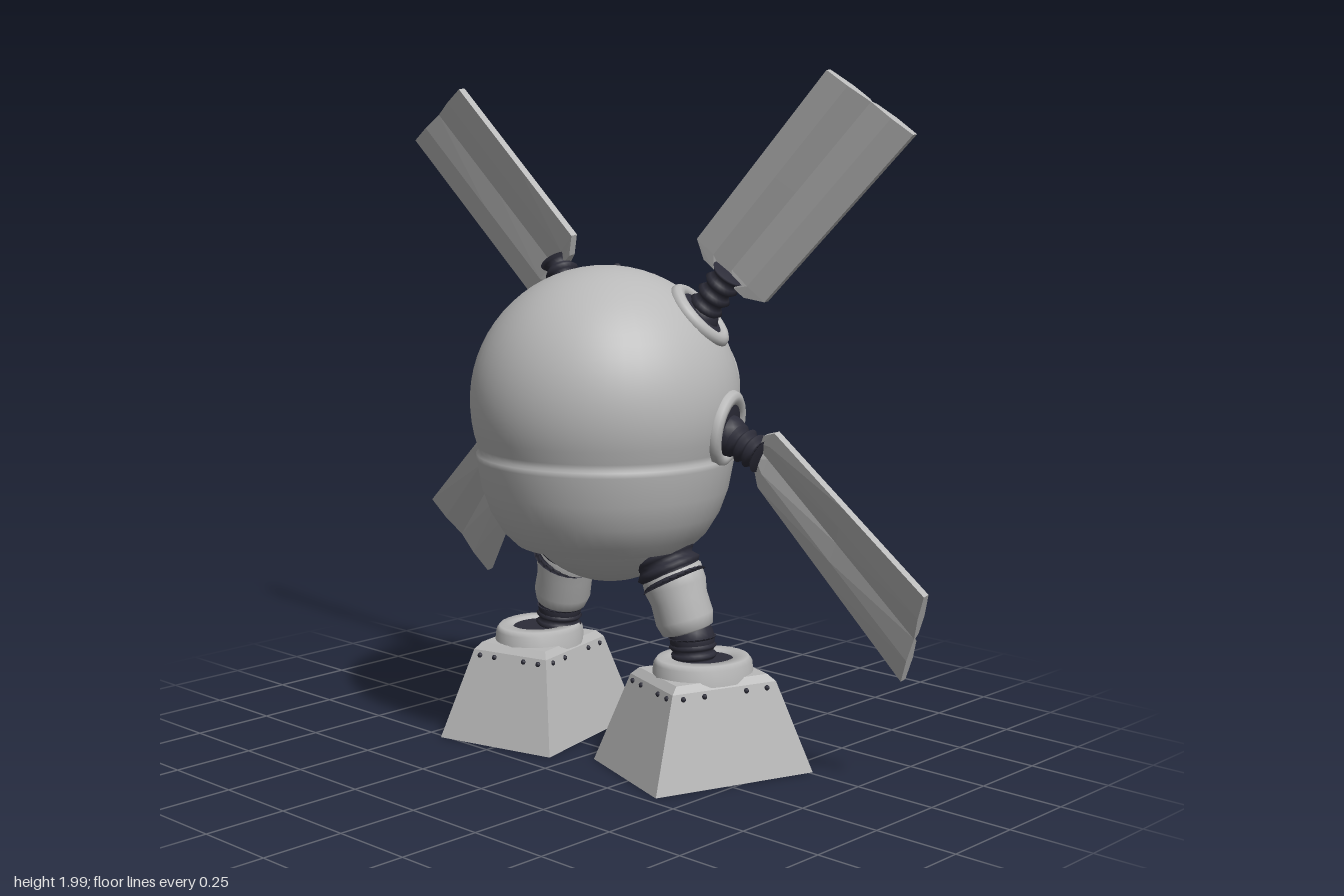
import * as THREE from 'three';

const mat = (name, color, side = THREE.FrontSide) => {
  const m = new THREE.MeshStandardMaterial({ color, side });
  m.name = name;
  return m;
};
const UP = new THREE.Vector3(0, 1, 0);
const V = (x, y, z) => new THREE.Vector3(x, y, z);

// Body profile from hem to crown (radius, height)
const CENTER = V(0, 1.05, 0), R = 0.393;
const PROFILE = [[0.262, 0.635], [0.3, 0.672], [0.335, 0.73], [0.36, 0.8], [0.376, 0.885], [0.376, 0.9], [0.368, 0.907]];
for (let i = 0; i <= 20; i++) {
  const a = -0.33 + (Math.PI / 2 + 0.33) * i / 20;
  PROFILE.push([Math.max(R * Math.cos(a), 0), 1.05 + R * Math.sin(a)]);
}
function bodyRadius(y) {
  for (let i = 1; i < PROFILE.length; i++) {
    const [r0, y0] = PROFILE[i - 1], [r1, y1] = PROFILE[i];
    if (y <= y1) return r0 + (r1 - r0) * (y - y0) / (y1 - y0);
  }
  return 0;
}

// Blade cross-section: position across the width, offset through the thickness
const SECTION = [[0, -0.011], [0, 0.011], [0.25, 0.02], [0.46, 0.014], [0.5, 0.004], [0.54, 0.014],
  [0.75, 0.02], [1, 0.011], [1, -0.011], [0.75, -0.012], [0.5, -0.002], [0.25, -0.012]];

function bladeGeometry(r1, r2, t1, t2) {
  const n = V(0, 0, 0).crossVectors(t1.clone().sub(r1), r2.clone().sub(r1)).normalize();
  if (n.x < 0) n.negate();
  const rings = [[0, 0.2, 0.8], [0.05, 0, 1], [0.5, 0, 1], [1, 0, 1]].map(([t, lo, hi]) => {
    const a = r1.clone().lerp(t1, t), b = r2.clone().lerp(t2, t);
    return SECTION.map(([s, d]) => a.clone().lerp(b, lo + (hi - lo) * s).addScaledVector(n, d));
  });
  const tris = [], N = SECTION.length;
  for (let k = 0; k < rings.length - 1; k++) for (let i = 0; i < N; i++) {
    const j = (i + 1) % N, p = rings[k], q = rings[k + 1];
    tris.push([p[i], q[i], q[j]], [p[i], q[j], p[j]]);
  }
  const cap = (ring, flip) => {
    const c = ring.reduce((s, p) => s.add(p), V(0, 0, 0)).divideScalar(N);
    ring.forEach((p, i) => {
      const q = ring[(i + 1) % N];
      tris.push(flip ? [c, q, p] : [c, p, q]);
    });
  };
  cap(rings[0], false);
  cap(rings[rings.length - 1], true);
  // Flip the corners when the solid comes out inside out
  const o = r1, vol = tris.reduce((s, [a, b, c]) => s +
    a.clone().sub(o).dot(b.clone().sub(o).cross(c.clone().sub(o))), 0);
  const pts = tris.flatMap(([a, b, c]) => vol < 0 ? [a, c, b] : [a, b, c]);
  const g = new THREE.BufferGeometry().setFromPoints(pts);
  g.computeVertexNormals();
  return g;
}

export function createModel() {
  const root = new THREE.Group();
  root.name = 'bladedRobot';
  const shell = mat('shellGrey', 0xb9b9b9, THREE.DoubleSide);
  const dark = mat('jointDark', 0x2c2c38);
  const teal = mat('irisTeal', 0x2596b4);
  const pupilMat = mat('pupilBlack', 0x25252a);
  const glint = mat('glintGrey', 0xcfcfcf);

  const add = (parent, name, geo, m, p) => {
    const mesh = new THREE.Mesh(geo, m);
    mesh.name = name;
    if (p) mesh.position.copy(p);
    parent.add(mesh);
    return mesh;
  };
  const lathe = (pts, seg = 24) => new THREE.LatheGeometry(pts.map(([x, y]) => new THREE.Vector2(x, y)), seg);
  // Lathe stretched between two points; profile heights run 0..1
  const between = (name, a, b, profile, m) => {
    const d = b.clone().sub(a), len = d.length();
    const mesh = add(root, name, lathe(profile.map(([r, t]) => [r, t * len])), m, a);
    mesh.quaternion.setFromUnitVectors(UP, d.normalize());
    return mesh;
  };
  // Group whose y axis points outward from the body centre
  const facing = (name, target) => {
    const g = new THREE.Group();
    g.name = name;
    g.position.copy(CENTER);
    g.quaternion.setFromUnitVectors(UP, target.clone().sub(CENTER).normalize());
    root.add(g);
    return g;
  };
  const patch = (r, angle) => new THREE.SphereGeometry(r, 32, 6, 0, Math.PI * 2, 0, angle);
  const rim = (parent, name, r, angle, tube) => {
    const g = new THREE.TorusGeometry(r * Math.sin(angle), tube, 10, 36).rotateX(Math.PI / 2);
    add(parent, name, g, shell, V(0, r * Math.cos(angle), 0));
  };
  const ribbed = (r, ribs, depth) => {
    const p = [[0, 0]];
    for (let i = 0; i <= ribs * 4; i++) p.push([r + depth * Math.cos(i * Math.PI / 2), i / (ribs * 4)]);
    return [...p, [0, 1]];
  };

  // Body shell, dark underside and lower bowl with vents
  add(root, 'bodyShell', lathe(PROFILE, 48), shell);
  add(root, 'underside', new THREE.CylinderGeometry(0.262, 0.255, 0.012, 40), dark, V(0, 0.642, 0));
  const bowlAt = V(0.02, 0.8, 0);
  add(root, 'lowerBowl', new THREE.SphereGeometry(0.283, 36, 16, 0, Math.PI * 2, Math.PI / 2, Math.PI / 2), shell, bowlAt);
  for (const [a, w] of [[0.37, 0.26], [0.95, 0.34], [1.55, 0.3]]) for (const s of [1, -1])
    add(root, 'bowlVent', new THREE.SphereGeometry(0.288, 6, 6, Math.PI + s * a - w / 2, w, 2.08, 0.46), dark, bowlAt);

  // Chest seam, mouth and rivets
  const seam = [0.65, 0.72, 0.8, 0.89].map(y => V(bodyRadius(y), y, 0));
  add(root, 'chestSeam', new THREE.TubeGeometry(new THREE.CatmullRomCurve3(seam), 12, 0.003, 6), shell);
  add(root, 'mouthRim', new THREE.CapsuleGeometry(0.012, 0.085, 4, 10).rotateX(Math.PI / 2), dark, V(0.373, 0.942, 0));
  add(root, 'mouthSlot', new THREE.BoxGeometry(0.006, 0.008, 0.075), shell, V(0.384, 0.942, 0));
  for (const [y, z] of [[1.4, 0.03], [1.4, -0.025], [1.43, -0.035], [1.325, 0.05], [1.325, -0.015], [1.225, 0],
    [0.87, 0.07], [0.87, -0.01], [0.8, 0.005], [0.705, 0.07], [0.705, 0.01]]) {
    const r = bodyRadius(y);
    add(root, 'rivet', new THREE.SphereGeometry(0.013, 10, 8), dark, V(Math.sqrt(r * r - z * z) - 0.006, y, z));
  }

  // Eyes: lenses wrapped over the body
  for (const s of [1, -1]) {
    const x = Math.sqrt(R * R - 0.06 ** 2 - 0.13 ** 2);
    const eye = facing('eye', V(x, 1.11, s * 0.13));
    add(eye, 'iris', patch(0.398, 0.245), teal);
    rim(eye, 'eyeRim', 0.393, 0.268, 0.013);
    const pupil = facing('pupilMount', V(0.37, 1.117, s * 0.123));
    add(pupil, 'pupil', patch(0.401, 0.165), pupilMat);
    const shine = facing('glintMount', V(0.365, 1.147, s * 0.115 - 0.01));
    add(shine, 'glint', patch(0.404, 0.062), glint);
  }

  // Four arms: socket, ribbed stem and blade
  const arms = [
    { side: 'Left', level: 'upper', s: 1, r1: V(0.13, 1.5, 0.22), r2: V(0.175, 1.33, 0.43), t1: V(0.165, 1.99, 0.67), t2: V(0.215, 1.82, 0.92) },
    { side: 'Right', level: 'upper', s: -1, r1: V(0.13, 1.49, -0.23), r2: V(0.18, 1.3, -0.46), t1: V(0.09, 1.95, -0.71), t2: V(0.15, 1.79, -0.99) },
    { side: 'Left', level: 'lower', s: 1, r1: V(0.13, 1.02, 0.51), r2: V(0.155, 0.86, 0.43), t1: V(0.2, 0.6, 1.0), t2: V(0.285, 0.325, 0.87) },
    { side: 'Right', level: 'lower', s: -1, r1: V(0.13, 1.0, -0.52), r2: V(0.155, 0.87, -0.43), t1: V(0.21, 0.6, -1.0), t2: V(0.285, 0.375, -0.81) },
  ];
  for (const { side, level, s, r1, r2, t1, t2 } of arms) {
    const up = level === 'upper';
    const socket = facing(level + side + 'Socket', up ? V(0.13, 1.31, s * 0.255) : V(0.13, 0.99, s * 0.35));
    add(socket, 'socketWell', patch(0.399, 0.2), dark);
    rim(socket, 'socketRim', 0.39, 0.235, 0.022);
    const a = up ? V(0.12, 1.24, s * 0.2) : V(0.12, 0.995, s * 0.31);
    const b = up ? V(0.145, 1.43, s * 0.345) : V(0.14, 0.925, s * 0.475);
    between(level + side + 'Stem', a, b, ribbed(0.044, 6, 0.008), dark);
    add(root, level + side + 'StemBall', new THREE.SphereGeometry(0.06, 18, 12), dark, a.clone().lerp(b, 0.3));
    add(root, level + side + 'Blade', bladeGeometry(r1, r2, t1, t2), shell);
  }

  // Legs and tapered feet
  for (const s of [1, -1]) {
    between('hip', V(0.04, 0.68, s * 0.15), V(0.055, 0.54, s * 0.225), ribbed(0.09, 4, 0.008), dark);
    between('leg', V(0.055, 0.585, s * 0.205), V(0.075, 0.395, s * 0.262),
      [[0, 0], [0.075, 0], [0.09, 0.08], [0.092, 0.3], [0.084, 0.5], [0.086, 0.8], [0.076, 0.97], [0.06, 1], [0, 1]], shell);
    add(root, 'ankleBall', new THREE.SphereGeometry(0.066, 20, 14), dark, V(0.08, 0.375, s * 0.272));
    between('ankle', V(0.08, 0.3, s * 0.28), V(0.08, 0.38, s * 0.272), ribbed(0.064, 3, 0.006), dark);

    const foot = new THREE.Group();
    foot.name = s > 0 ? 'leftFoot' : 'rightFoot';
    foot.position.set(s > 0 ? 0.085 : 0.03, 0, s * 0.31);
    foot.rotation.y = s > 0 ? -0.34 : 0.235;
    root.add(foot);
    const block = new THREE.CylinderGeometry(0.66 * Math.SQRT1_2, Math.SQRT1_2, 0.265, 4, 1)
      .toNonIndexed().rotateY(Math.PI / 4).scale(0.51, 1, 0.39);
    block.computeVertexNormals();
    add(foot, 'footBlock', block, shell, V(0, 0.1325, 0));
    const lip = new THREE.CylinderGeometry(0.58 * Math.SQRT1_2, 0.66 * Math.SQRT1_2, 0.02, 4, 1)
      .toNonIndexed().rotateY(Math.PI / 4).scale(0.51, 1, 0.39);
    lip.computeVertexNormals();
    add(foot, 'footLip', lip, shell, V(0, 0.275, 0));
    add(foot, 'footCollar', lathe([[0.145, 0.27], [0.14, 0.315], [0.13, 0.328], [0.09, 0.328], [0.075, 0.3]], 28), shell)
      .scale.set(1.05, 1, 0.9);
    add(foot, 'collarWell', new THREE.CylinderGeometry(0.09, 0.09, 0.012, 24), dark, V(0, 0.314, 0));
    for (const e of [1, -1]) for (const t of [-0.8, -0.4, 0.4, 0.8]) {
      add(foot, 'footRivet', new THREE.SphereGeometry(0.008, 8, 6), dark, V(t * 0.17, 0.25, e * 0.132));
      add(foot, 'footRivet', new THREE.SphereGeometry(0.008, 8, 6), dark, V(e * 0.173, 0.25, t * 0.13));
    }
  }
  return root;
}
